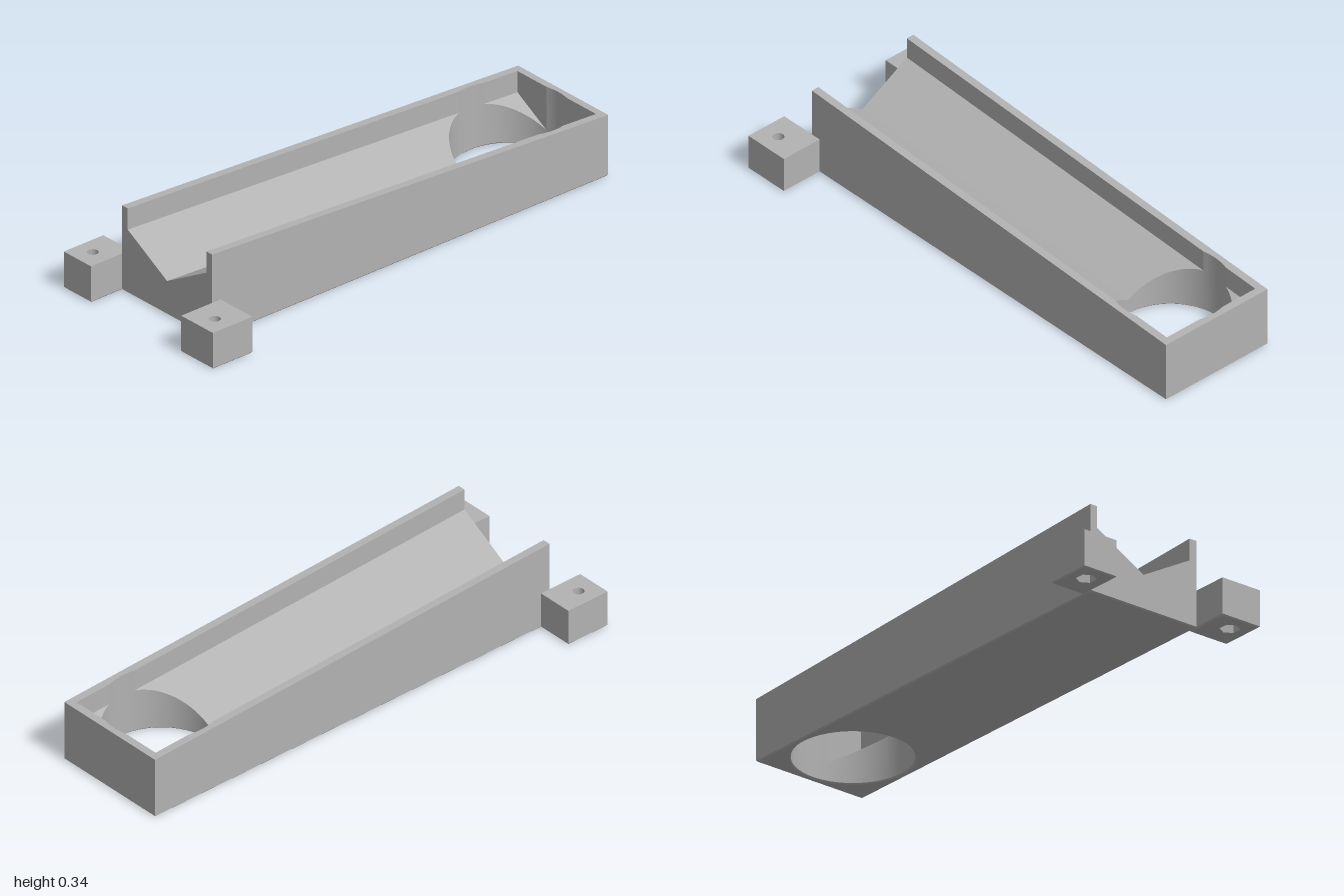
import * as THREE from 'three';
import { toCreasedNormals } from 'three/addons/utils/BufferGeometryUtils.js';

const grey = new THREE.MeshStandardMaterial({ color: 0xb2b2b2 });
grey.name = 'grey plastic';

// Main sizes; the body is symmetric about its own centre line
const CENTRE = -0.012, FRONT = 0.855, BACK = -1, HALF = 0.243;
const INNER = 0.212, INNER_BACK = -0.97, BEVEL = 0.005;
const HOLE_Z = -0.757, HOLE_R = 0.22;

// Heights: sloping rim, V-shaped channel floor parallel to it
const rimY = (x, z) => 0.245 + 0.095 * (z - BACK) / (FRONT - BACK);
const floorY = (x, z) => rimY(x, z) - 0.085 - 0.12 * (1 - Math.abs(x) / INNER);
const at = (h) => () => h;

// Points on a circle in plan, angle 0 facing the front
function arc(from, to, n, r = HOLE_R, cx = 0, cz = HOLE_Z) {
  return Array.from({ length: n + 1 }, (_, i) => {
    const a = from + (to - from) * i / n;
    return [cx + r * Math.sin(a), cz + r * Math.cos(a)];
  });
}

const lift = (pts, h) => pts.map(([x, z]) => [x, h(x, z), z]);

// Band of quads between a lower and an upper row of points
function band(low, high) {
  const t = [];
  for (let i = 0; i + 1 < low.length; i++) {
    t.push([low[i], low[i + 1], high[i + 1]], [low[i], high[i + 1], high[i]]);
  }
  return t;
}
const wall = (pts, h0, h1) => band(lift(pts, h0), lift(pts, h1));

// Plate with a plan outline, raised by a height rule
function plate(outline, h, up, hole) {
  const vec = (pts) => pts.map(([x, z]) => new THREE.Vector2(x, z));
  const shape = new THREE.Shape(vec(outline));
  if (hole) shape.holes.push(new THREE.Path(vec(hole)));
  const g = new THREE.ShapeGeometry(shape);
  const p = g.attributes.position, ix = g.index.array, t = [];
  const v = (k) => [p.getX(k), h(p.getX(k), p.getY(k)), p.getY(k)];
  for (let i = 0; i < ix.length; i += 3) {
    const [a, b, c] = [v(ix[i]), v(ix[i + 1]), v(ix[i + 2])];
    t.push(up ? [a, c, b] : [a, b, c]);
  }
  return t;
}

const flipX = ([x, y, z]) => [-x, y, z];
const mirrored = (tris) => tris.concat(tris.map(([a, b, c]) => [flipX(a), flipX(c), flipX(b)]));

function makeMesh(name, tris) {
  const g = new THREE.BufferGeometry();
  g.setAttribute('position', new THREE.Float32BufferAttribute(tris.flat(2), 3));
  const mesh = new THREE.Mesh(toCreasedNormals(g, 0.5), grey);
  mesh.name = name;
  return mesh;
}

function makeBody() {
  const body = new THREE.Group();
  body.name = 'body';
  body.position.x = CENTRE;

  // The round hole bites slightly into the side walls and the back wall
  const a1 = Math.asin(INNER / HOLE_R), a2 = Math.PI - a1;
  const a3 = Math.acos((INNER_BACK - HOLE_Z) / HOLE_R);
  const backBite = arc(Math.PI, a3, 6), corner = arc(a3, a2, 14);
  const sideBite = arc(a2, a1, 8), frontArc = arc(a1, 0, 20);
  const holeHalf = [...backBite, ...corner.slice(1), ...sideBite.slice(1), ...frontArc.slice(1)];
  const innerCorner = [INNER, INNER_BACK];

  // Outer shell: front, sides, back, bevel, underside
  const outer = [[0, FRONT], [HALF, FRONT], [HALF, BACK], [0, BACK]];
  const inset = [[0, FRONT - BEVEL], [HALF - BEVEL, FRONT - BEVEL],
    [HALF - BEVEL, BACK + BEVEL], [0, BACK + BEVEL]];
  const wideHole = holeHalf.map(([x, z]) => {
    const k = 1 + BEVEL / HOLE_R;
    return [x * k, HOLE_Z + (z - HOLE_Z) * k];
  });
  body.add(makeMesh('outer shell', mirrored([
    ...wall([[0, FRONT], [INNER, FRONT]], at(BEVEL), floorY),
    ...wall([[INNER, FRONT], ...outer.slice(1)], at(BEVEL), rimY),
    ...band(lift(inset, at(0)), lift(outer, at(BEVEL))),
    ...plate([...inset, ...wideHole], at(0), false),
  ])));

  // Rim and inner faces of the walls
  body.add(makeMesh('rim and inner walls', mirrored([
    ...plate([[INNER, FRONT], ...outer.slice(1), ...backBite, innerCorner, ...sideBite], rimY, true),
    ...wall([corner[0], innerCorner, sideBite[0]], floorY, rimY),
    ...wall([frontArc[0], [INNER, FRONT]], floorY, rimY),
  ])));

  // V-shaped floor: long front part and small corners behind the hole
  body.add(makeMesh('channel floor', mirrored([
    ...plate([[0, FRONT], [INNER, FRONT], ...frontArc], floorY, true),
    ...plate([innerCorner, ...corner], floorY, true),
  ])));

  // Hole lining with flared lower edge
  body.add(makeMesh('drop hole', mirrored([
    ...wall(backBite, at(BEVEL), rimY),
    ...wall(corner, at(BEVEL), floorY),
    ...wall(sideBite, at(BEVEL), rimY),
    ...wall(frontArc, at(BEVEL), floorY),
    ...band(lift(wideHole, at(0)), lift(holeHalf, at(BEVEL))),
  ])));
  return body;
}

// Mounting block with a screw hole and a hexagonal recess underneath
function makeMount(name, x0, x1, holeX) {
  const z0 = 0.815, z1 = 1, top = 0.146, recess = 0.04, holeZ = 0.925;
  const rect = (d) => [[x0 + d, z1 - d], [x1 - d, z1 - d], [x1 - d, z0 + d], [x0 + d, z0 + d], [x0 + d, z1 - d]];
  const ring = (r, n) => arc(Math.PI * 2, 0, n, r, holeX, holeZ);
  const open = (loop) => loop.slice(0, -1);
  const screw = ring(0.021, 24), hex = ring(0.037, 6);
  return makeMesh(name, [
    ...plate(open(rect(0)), at(top), true, open(screw)),
    ...wall(rect(0), at(BEVEL), at(top)),
    ...band(lift(rect(BEVEL), at(0)), lift(rect(0), at(BEVEL))),
    ...plate(open(rect(BEVEL)), at(0), false, open(hex)),
    ...wall(hex, at(0), at(recess)),
    ...plate(open(hex), at(recess), false, open(screw)),
    ...wall(screw, at(recess), at(top)),
  ]);
}

export function createModel() {
  const model = new THREE.Group();
  model.name = 'sloped chute';
  model.add(
    makeBody(),
    makeMount('rightMount', -0.402, CENTRE - HALF, -0.332),
    makeMount('leftMount', CENTRE + HALF, 0.402, 0.327),
  );
  return model;
}
